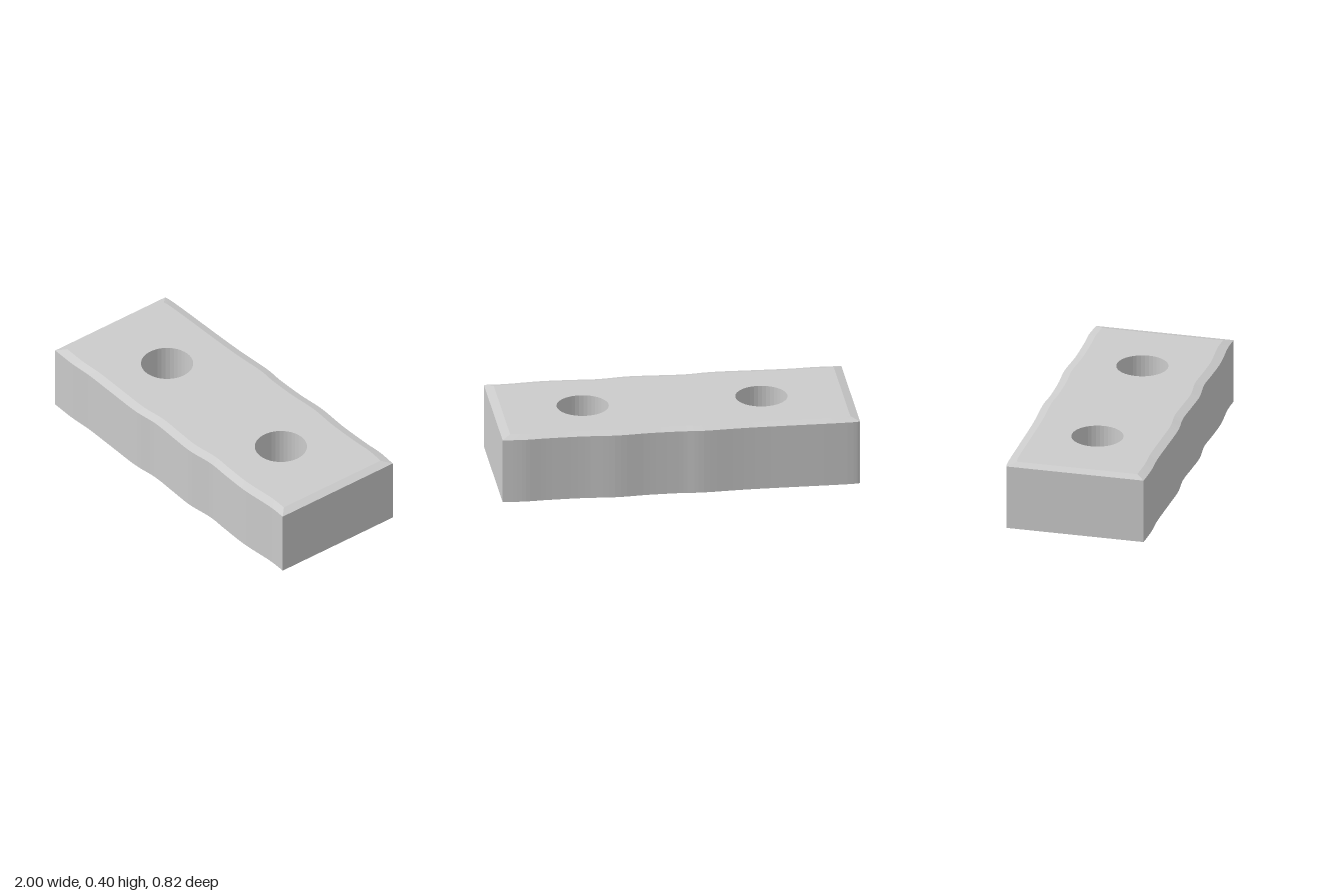
import * as THREE from 'three';
import { mergeGeometries } from 'three/addons/utils/BufferGeometryUtils.js';

const HEIGHT = 0.4, BEVEL_H = 0.014, INSET = 0.048, HOLE_R = 0.145;
const HOLE_X = [-0.5, 0.5];
const SAMPLES = 56, HOLE_SIDES = 40;

// Wavy long edges as [x, z]
const frontEdge = [[-1, 0.393], [-0.85, 0.399], [-0.7, 0.394], [-0.5, 0.4], [-0.28, 0.406], [-0.12, 0.392],
  [0.05, 0.4], [0.2, 0.406], [0.36, 0.39], [0.5, 0.397], [0.68, 0.403], [0.88, 0.39], [1, 0.394]];
const backEdge = [[-1, -0.393], [-0.9, -0.4], [-0.4, -0.398], [-0.13, -0.408], [0, -0.4], [0.18, -0.4],
  [0.36, -0.41], [0.55, -0.398], [0.75, -0.398], [0.88, -0.403], [1, -0.393]];

const sampleEdge = (points) =>
  new THREE.SplineCurve(points.map(([x, z]) => new THREE.Vector2(x, z))).getPoints(SAMPLES);

// Closed outline in (x, z): along the front to +x, then back to -x, pulled in by an inset
function outline(inset) {
  const s = 1 - inset;
  const front = sampleEdge(frontEdge).map((p) => new THREE.Vector2(p.x * s, p.y - inset));
  const back = sampleEdge(backEdge).map((p) => new THREE.Vector2(p.x * s, p.y + inset));
  return [...front, ...back.reverse()];
}

// Facing band between two loops, lower one first
function band(lower, y0, upper, y1) {
  const pos = [];
  const n = lower.length;
  for (let i = 0; i < n; i++) {
    const j = (i + 1) % n;
    const a = [lower[i].x, y0, lower[i].y], b = [lower[j].x, y0, lower[j].y];
    const c = [upper[j].x, y1, upper[j].y], d = [upper[i].x, y1, upper[i].y];
    pos.push(...a, ...b, ...c, ...a, ...c, ...d);
  }
  const g = new THREE.BufferGeometry();
  g.setAttribute('position', new THREE.Float32BufferAttribute(pos, 3));
  g.computeVertexNormals();
  return g;
}

// Pierced flat face; dir = 1 faces up, -1 faces down
function cap(loop, y, dir) {
  const shape = new THREE.Shape(loop.map((p) => new THREE.Vector2(p.x, -dir * p.y)));
  for (const x of HOLE_X) {
    shape.holes.push(new THREE.Path().absarc(x, 0, HOLE_R, 0, Math.PI * 2, true));
  }
  const g = new THREE.ShapeGeometry(shape, HOLE_SIDES / 2).toNonIndexed();
  g.rotateX(-dir * Math.PI / 2).translate(0, y, 0);
  g.deleteAttribute('uv');
  return g;
}

export function createModel() {
  const group = new THREE.Group();
  const material = new THREE.MeshStandardMaterial({ color: 0xcccccc, flatShading: true });
  const outer = outline(0), inner = outline(INSET);

  // Block: bottom bevel, walls, top bevel and the two pierced faces
  const block = new THREE.Mesh(mergeGeometries([
    band(inner, 0, outer, BEVEL_H),
    band(outer, BEVEL_H, outer, HEIGHT - BEVEL_H),
    band(outer, HEIGHT - BEVEL_H, inner, HEIGHT),
    cap(inner, HEIGHT, 1),
    cap(inner, 0, -1),
  ]), material);
  block.name = 'block';
  group.add(block);

  // Hole walls, facing inwards
  const boreMaterial = new THREE.MeshStandardMaterial({ color: 0xcccccc, flatShading: true, side: THREE.DoubleSide });
  HOLE_X.forEach((x, i) => {
    const bore = new THREE.Mesh(
      new THREE.CylinderGeometry(HOLE_R, HOLE_R, HEIGHT, HOLE_SIDES, 1, true), boreMaterial);
    bore.position.set(x, HEIGHT / 2, 0);
    bore.name = i === 0 ? 'rightHole' : 'leftHole';
    group.add(bore);
  });
  return group;
}
